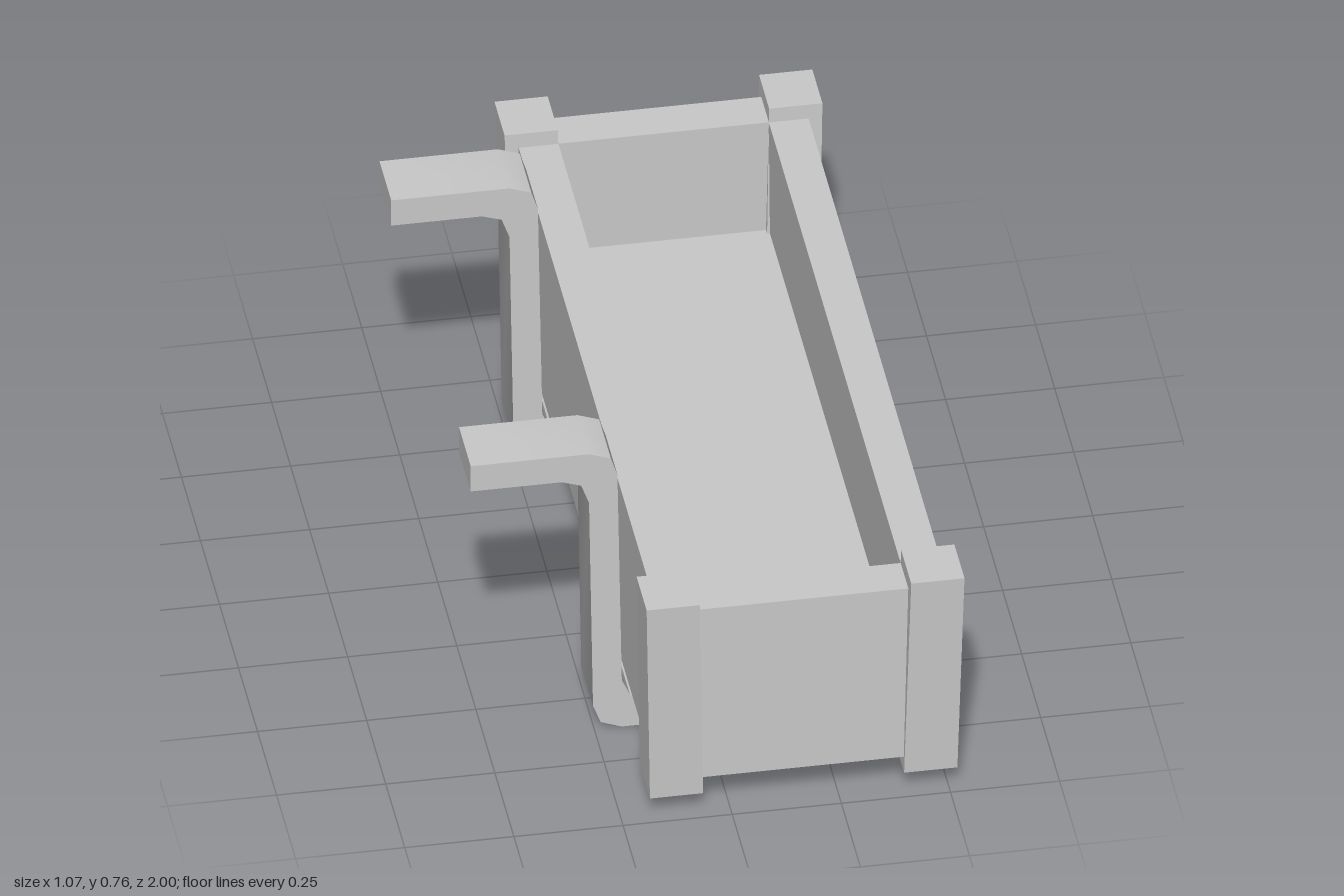
import * as THREE from 'three';
import { toCreasedNormals } from 'three/addons/utils/BufferGeometryUtils.js';

const CX = 0.168;            // centre line of the planter box
const TOP = 0.59;            // height of the corner posts
const LEAN_X = 0.022, LEAN_Z = 0.046;

const gray = new THREE.MeshStandardMaterial({ color: 0xc9c9c9 });
gray.name = 'plainGray';

export function createModel() {
  const model = new THREE.Group();
  model.name = 'hangingPlanter';

  function add(name, geometry) {
    const mesh = new THREE.Mesh(geometry, gray);
    mesh.name = name;
    model.add(mesh);
    return mesh;
  }

  // Box from its limits (x is relative to the planter's centre line)
  function block(x0, x1, y0, y1, z0, z1) {
    const g = new THREE.BoxGeometry(x1 - x0, y1 - y0, z1 - z0);
    return g.translate(CX + (x0 + x1) / 2, (y0 + y1) / 2, (z0 + z1) / 2);
  }

  // Order a mirrored span from low to high
  const span = (s, a, b) => (s > 0 ? [a, b] : [-b, -a]);

  for (const s of [1, -1]) {
    // Long side walls and short end walls
    add('sideWall', block(...span(s, 0.241, 0.332), 0.087, 0.553, -0.93, 0.93));
    add('endWall', block(-0.29, 0.29, 0.087, 0.553, ...span(s, 0.866, 0.966)));

    // Corner posts, leaning inward towards the bottom
    for (const t of [1, -1]) {
      const g = block(...span(s, 0.242, 0.364), 0.049, TOP, ...span(t, 0.867, 1));
      const p = g.attributes.position;
      for (let i = 0; i < p.count; i++) {
        const drop = TOP - p.getY(i);
        p.setX(i, p.getX(i) - s * drop * LEAN_X);
        p.setZ(i, p.getZ(i) - t * drop * LEAN_Z);
      }
      g.computeVertexNormals();
      add('cornerPost', g);
    }
  }

  // Floor panel, set up from the lower edge of the walls
  add('floor', block(-0.25, 0.25, 0.15, 0.255, -0.88, 0.88));

  // Bent flat hooks that hang over a rail and carry the box
  const outline = [
    [-0.533, 0.695], [-0.325, 0.695], [-0.28, 0.68], [-0.262, 0.63],
    [-0.253, 0.065], [-0.235, 0.018], [-0.187, 0], [0.344, 0],
    [0.344, 0.07], [-0.12, 0.07], [-0.168, 0.085], [-0.187, 0.13],
    [-0.197, 0.70], [-0.212, 0.747], [-0.262, 0.765], [-0.533, 0.765],
  ];
  const hookShape = new THREE.Shape(outline.map(([x, y]) => new THREE.Vector2(x, y)));
  const hookGeo = toCreasedNormals(
    new THREE.ExtrudeGeometry(hookShape, { depth: 0.154, bevelEnabled: false }), 0.5);
  for (const z of [0.468, -0.577]) add('railHook', hookGeo).position.z = z;

  return model;
}
